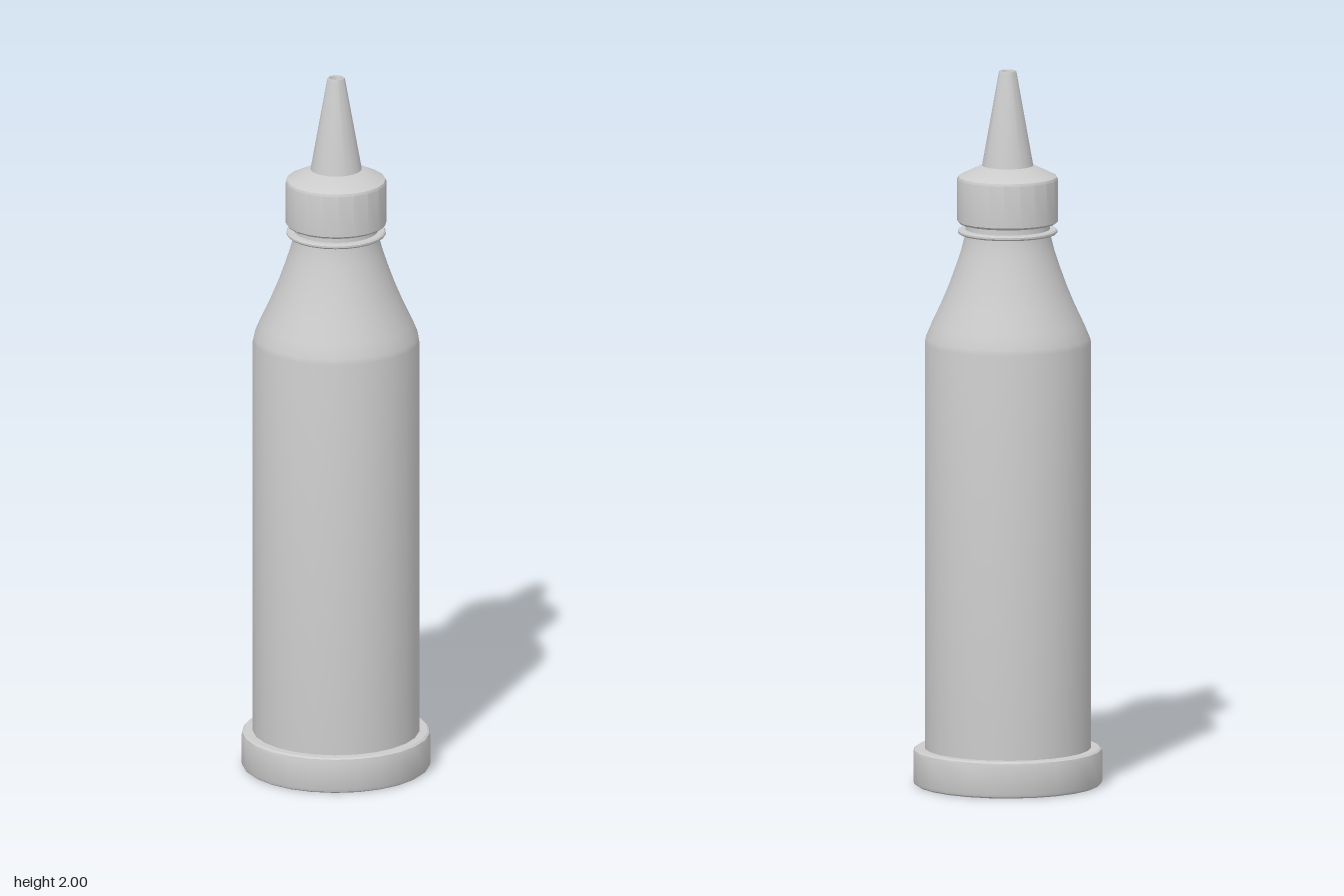
import * as THREE from 'three';
import { toCreasedNormals } from 'three/addons/utils/BufferGeometryUtils.js';

const material = new THREE.MeshStandardMaterial({ color: 0xcccccc, side: THREE.DoubleSide });

// Turns a bottom-to-top [radius, height] profile, starting at angle phi
function turned(name, profile, sides, phi) {
  const points = profile.map(([r, y]) => new THREE.Vector2(r, y));
  const geometry = toCreasedNormals(new THREE.LatheGeometry(points, sides, phi), 0.5);
  const mesh = new THREE.Mesh(geometry, material);
  mesh.name = name;
  return mesh;
}

export function createModel() {
  const group = new THREE.Group();
  group.name = 'squeezeBottle';
  const right = Math.PI / 2, left = -Math.PI / 2;

  // Wide foot with a recessed underside and softened edges
  group.add(turned('base', [
    [0, 0.035], [0.224, 0.035], [0.233, 0.004], [0.238, 0], [0.254, 0], [0.26, 0.004], [0.2625, 0.012],
    [0.2625, 0.09], [0.26, 0.098], [0.254, 0.102], [0.225, 0.102],
  ], 25, right));

  // Straight body, concave shoulder and neck
  group.add(turned('body', [
    [0.231, 0.09], [0.231, 1.238], [0.228, 1.252], [0.212, 1.29], [0.186, 1.345], [0.163, 1.4],
    [0.145, 1.45], [0.13, 1.495], [0.121, 1.53], [0.117, 1.56], [0.117, 1.59],
  ], 25, right));

  // Thin collar around the neck
  group.add(turned('neckRing', [
    [0.115, 1.544], [0.134, 1.544], [0.138, 1.548], [0.138, 1.553], [0.134, 1.557], [0.115, 1.557],
  ], 25, right));

  // Screw cap with a sloped top
  group.add(turned('cap', [
    [0.112, 1.574], [0.134, 1.574], [0.14, 1.58], [0.14, 1.697], [0.137, 1.704], [0.073, 1.735], [0.06, 1.735],
  ], 20, left));

  // Hollow tapered spout
  group.add(turned('nozzle', [
    [0.072, 1.73], [0.025, 1.994], [0.023, 2], [0.019, 2], [0.017, 1.994], [0.017, 1.965], [0.01, 1.955], [0, 1.952],
  ], 20, left));

  return group;
}
